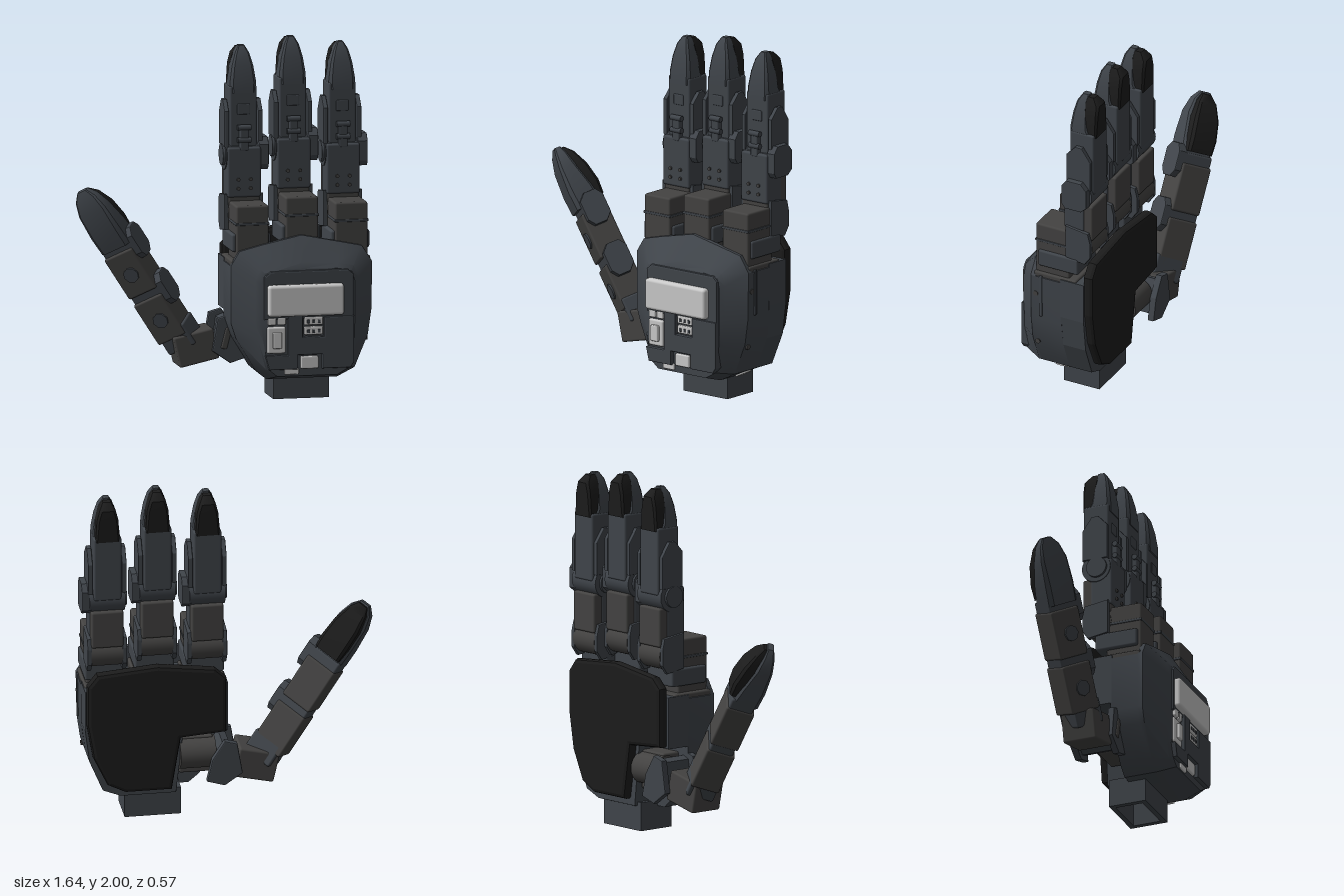
import * as THREE from 'three';
import { RoundedBoxGeometry } from 'three/addons/geometries/RoundedBoxGeometry.js';
import { toCreasedNormals } from 'three/addons/utils/BufferGeometryUtils.js';

const mat = (color) => new THREE.MeshStandardMaterial({ color });
const shellMat = mat(0x40454b), motorMat = mat(0x444342), padMat = mat(0x1c1c1c), greyMat = mat(0xcccccc);

function add(parent, name, geo, material, x = 0, y = 0, z = 0) {
  const m = new THREE.Mesh(geo, material);
  m.name = name;
  m.position.set(x, y, z);
  parent.add(m);
  return m;
}

// Bevelled box given by its extents on each axis
function box(parent, name, material, [x0, x1], [y0, y1], [z0, z1], r = 0.012) {
  const geo = new RoundedBoxGeometry(x1 - x0, y1 - y0, z1 - z0, 2, r);
  return add(parent, name, geo, material, (x0 + x1) / 2, (y0 + y1) / 2, (z0 + z1) / 2);
}

// Cylinder lying along the x or z axis
function cyl(parent, name, material, axis, r, len, x, y, z, sides = 24) {
  const geo = new THREE.CylinderGeometry(r, r, len, sides);
  if (axis === 'x') geo.rotateZ(Math.PI / 2);
  else geo.rotateX(Math.PI / 2);
  return add(parent, name, geo, material, x, y, z);
}

const outline = (pts) => pts.map((p) => new THREE.Vector2(...p));

// Plate cut from an outline between two z values
function plate(parent, name, material, pts, z0, z1, bevel = 0.01) {
  const geo = new THREE.ExtrudeGeometry(new THREE.Shape(outline(pts)), {
    depth: z1 - z0 - 2 * bevel, bevelSize: bevel, bevelOffset: -bevel, bevelThickness: bevel, bevelSegments: 2,
  });
  return add(parent, name, geo, material, 0, 0, z0 + bevel);
}

// Plate standing across x, outlined in [z, y]
function sidePlate(parent, name, material, pts, x, thick) {
  const m = plate(parent, name, material, pts.map(([z, y]) => [-z, y]), -thick / 2, thick / 2, 0.005);
  m.geometry.translate(0, 0, m.position.z).rotateY(Math.PI / 2);
  m.position.set(x, 0, 0);
}

// Closed loft through counter-clockwise rings of [x, y] at rising z
function loft(rings, zs, crease = 0.6) {
  const pos = [], n = rings[0].length;
  const at = (k, i) => [...rings[k][i % n], zs[k]];
  const mid = (k) => [0, 1].map((c) => rings[k].reduce((s, p) => s + p[c], 0) / n).concat(zs[k]);
  const last = rings.length - 1;
  for (let i = 0; i < n; i++) {
    for (let k = 0; k < last; k++) {
      pos.push(...at(k, i), ...at(k, i + 1), ...at(k + 1, i + 1));
      pos.push(...at(k, i), ...at(k + 1, i + 1), ...at(k + 1, i));
    }
    pos.push(...mid(0), ...at(0, i + 1), ...at(0, i));
    pos.push(...mid(last), ...at(last, i), ...at(last, i + 1));
  }
  const geo = new THREE.BufferGeometry();
  geo.setAttribute('position', new THREE.Float32BufferAttribute(pos, 3));
  return toCreasedNormals(geo, crease);
}

// Upright loft of chamfered rectangles: rows of [y, halfWidth, zFront, zBack]
function column(rows) {
  const rings = rows.map(([, w, f, b]) => {
    const c = Math.min(w, (f - b) / 2) * 0.28;
    return [[w - c, -f], [w, -f + c], [w, -b - c], [w - c, -b], [c - w, -b], [-w, -b - c], [-w, -f + c], [c - w, -f]];
  });
  return loft(rings, rows.map((r) => r[0])).rotateX(-Math.PI / 2);
}

function finger(x, dy) {
  const g = new THREE.Group();
  g.name = 'finger';
  g.position.set(x, dy, 0);
  // base and knuckle motors
  box(g, 'baseMount', motorMat, [-0.115, 0.115], [0.68, 0.8], [-0.15, 0.115]);
  box(g, 'baseMotor', motorMat, [-0.085, 0.1], [0.78, 1.1], [-0.1, 0.11]);
  box(g, 'baseBracket', shellMat, [-0.105, 0.115], [0.84, 0.94], [-0.16, 0.09]);
  box(g, 'baseSeam', shellMat, [-0.088, 0.104], [0.99, 1.005], [-0.09, 0.113], 0.004);
  cyl(g, 'knuckle', motorMat, 'x', 0.085, 0.18, 0, 1.02, -0.155);
  const cheek = [[-0.08, 0.94], [-0.08, 1.14], [-0.22, 1.12], [-0.235, 1.06], [-0.235, 0.97], [-0.2, 0.92]];
  const rail = [[-0.085, 1.4], [-0.085, 1.6], [-0.14, 1.66], [-0.18, 1.66], [-0.235, 1.58], [-0.235, 1.4]];
  for (const s of [-1, 1]) {
    sidePlate(g, 'knucklePlate', shellMat, cheek, s * 0.098, 0.026);
    sidePlate(g, 'sideRail', shellMat, rail, s * 0.095, 0.026);
  }
  // proximal motor and middle joint
  box(g, 'proximalMotor', motorMat, [-0.09, 0.09], [1.07, 1.29], [-0.24, -0.07]);
  box(g, 'proximalCover', shellMat, [-0.095, 0.095], [1.12, 1.4], [-0.19, -0.062]);
  cyl(g, 'middleJoint', shellMat, 'x', 0.085, 0.2, 0, 1.35, -0.155);
  const cap = [[-0.09, 1.27], [-0.07, 1.3], [-0.07, 1.41], [-0.1, 1.45], [-0.19, 1.45], [-0.225, 1.41], [-0.225, 1.3], [-0.19, 1.27]];
  sidePlate(g, 'jointCap', shellMat, cap, 0.113, 0.055);
  cyl(g, 'jointCapInner', shellMat, 'x', 0.06, 0.02, -0.104, 1.35, -0.15);
  // distal link with its small linkage
  box(g, 'distalLink', shellMat, [-0.078, 0.078], [1.36, 1.74], [-0.242, -0.09]);
  box(g, 'linkageRod', shellMat, [-0.025, 0.025], [1.38, 1.52], [-0.1, -0.06], 0.008);
  for (const y of [1.44, 1.51]) cyl(g, 'linkagePin', shellMat, 'x', 0.016, 0.075, 0, y, -0.07, 12);
  for (const sx of [-0.035, 0.035]) for (const y of [1.17, 1.22]) cyl(g, 'screw', motorMat, 'z', 0.01, 0.015, sx, y, -0.06, 10);
  box(g, 'tipLatch', shellMat, [-0.035, 0.035], [1.58, 1.64], [-0.1, -0.084], 0.006);
  // tip with a pad behind
  add(g, 'tipShell', column([[1.7, 0.076, -0.084, -0.235], [1.76, 0.074, -0.085, -0.2], [1.85, 0.06, -0.098, -0.19],
    [1.92, 0.04, -0.115, -0.18], [1.96, 0.017, -0.14, -0.18]]), shellMat);
  add(g, 'tipPad', column([[1.72, 0.068, -0.18, -0.248], [1.85, 0.06, -0.165, -0.252], [1.91, 0.045, -0.16, -0.252],
    [1.95, 0.022, -0.155, -0.215]]), padMat);
  return g;
}

function thumb() {
  const g = new THREE.Group();
  g.name = 'thumb';
  g.position.set(-0.24, 0.36, -0.15);
  g.rotation.set(0, -0.6, 0.567, 'ZYX');
  // two motor segments, each with a collar, a side cap and a round cover
  const cap = [[0.07, -0.06], [0.07, 0.05], [0.03, 0.09], [-0.04, 0.09], [-0.07, 0.05], [-0.07, -0.06], [-0.03, -0.1], [0.04, -0.1]];
  for (const [y0, y1] of [[0.0, 0.27], [0.31, 0.58]]) {
    box(g, 'thumbMotor', motorMat, [-0.1, 0.088], [y0, y1], [-0.08, 0.085]);
    box(g, 'thumbCollar', shellMat, [-0.095, 0.095], [y1 - 0.05, y1 + 0.06], [-0.07, 0.07]);
    sidePlate(g, 'thumbJointCap', shellMat, cap.map(([z, y]) => [z, y + y1 + 0.01]), 0.1, 0.055);
    cyl(g, 'thumbCover', shellMat, 'z', 0.045, 0.02, 0, y0 + 0.13, 0.085, 8);
  }
  box(g, 'thumbFoot', shellMat, [-0.08, 0.1], [-0.08, 0.06], [-0.08, 0.08]);
  // broad blunt tip, its pad covering the whole inner side
  add(g, 'thumbTipShell', column([[0.61, 0.095, 0.09, -0.07], [0.72, 0.096, 0.095, -0.05], [0.86, 0.088, 0.085, -0.01],
    [0.94, 0.065, 0.068, 0.005], [0.985, 0.03, 0.05, 0.015]]), shellMat);
  add(g, 'thumbTipPad', column([[0.65, 0.08, 0, -0.09], [0.73, 0.085, 0.02, -0.095], [0.84, 0.079, 0.03, -0.075],
    [0.93, 0.056, 0.035, -0.04], [0.975, 0.027, 0.035, -0.005]]), padMat);
  return g;
}

export function createModel() {
  const hand = new THREE.Group();
  hand.name = 'roboticHand';

  // Housing on the back of the hand
  const outer = [[0.2, 0.13], [0.6, 0.13], [0.7, 0.18], [0.775, 0.36], [0.795, 0.5], [0.8, 0.77], [0.74, 0.86],
    [0.62, 0.885], [0.4, 0.93], [0.17, 0.88], [0.05, 0.85], [0, 0.77], [0, 0.45], [0.03, 0.36], [0.14, 0.18]];
  const inner = [[0.24, 0.16], [0.58, 0.16], [0.65, 0.2], [0.675, 0.36], [0.68, 0.5], [0.68, 0.68], [0.66, 0.74],
    [0.58, 0.755], [0.4, 0.76], [0.25, 0.755], [0.17, 0.74], [0.15, 0.68], [0.15, 0.45], [0.16, 0.36], [0.19, 0.2]];
  const mix = (t) => outer.map((p, i) => p.map((v, c) => v + (inner[i][c] - v) * t));
  const low = outer.map(([x, y]) => [x, Math.min(y, 0.79)]);
  add(hand, 'housing', loft([low, low, outer, outer, mix(0.8), inner], [-0.06, 0.1, 0.101, 0.13, 0.215, 0.235]), shellMat);

  // Palm side, cut away at the corner for the thumb
  plate(hand, 'palmBody', shellMat, [[0.29, 0.14], [0.6, 0.14], [0.7, 0.18], [0.775, 0.36], [0.8, 0.55], [0.8, 0.79],
    [0, 0.79], [0, 0.5], [0.25, 0.5]], -0.2, -0.05, 0.004);
  plate(hand, 'palmPad', padMat, [[0.32, 0.18], [0.58, 0.18], [0.68, 0.23], [0.76, 0.4], [0.795, 0.6], [0.795, 0.84],
    [0.74, 0.91], [0.4, 0.94], [0.08, 0.9], [0.015, 0.84], [0.015, 0.51], [0.27, 0.49]], -0.255, -0.19, 0.022);

  // Control panel: upper frame, display block, cover, switch and ports
  plate(hand, 'panelFrame', shellMat, [[0.165, 0.48], [0.67, 0.48], [0.67, 0.72], [0.64, 0.75], [0.2, 0.75], [0.165, 0.72]], 0.2, 0.248, 0.008);
  box(hand, 'displayBlock', greyMat, [0.18, 0.61], [0.5, 0.675], [0.2, 0.285], 0.018);
  plate(hand, 'panelCover', shellMat, [[0.19, 0.2], [0.35, 0.2], [0.35, 0.28], [0.49, 0.28], [0.49, 0.2], [0.65, 0.2],
    [0.67, 0.23], [0.67, 0.49], [0.5, 0.49], [0.5, 0.38], [0.38, 0.38], [0.38, 0.5], [0.3, 0.5], [0.3, 0.28],
    [0.17, 0.28]], 0.2, 0.26, 0.006);
  box(hand, 'switchFrame', greyMat, [0.18, 0.285], [0.29, 0.44], [0.22, 0.25]);
  box(hand, 'switchRocker', greyMat, [0.21, 0.26], [0.32, 0.41], [0.23, 0.268], 0.006);
  for (const x of [0.185, 0.24]) box(hand, 'button', greyMat, [x, x + 0.045], [0.45, 0.49], [0.22, 0.252], 0.006);
  for (const y of [0.39, 0.445]) {
    box(hand, 'port', greyMat, [0.39, 0.495], [y, y + 0.045], [0.22, 0.252], 0.006);
    for (let i = 0; i < 3; i++) box(hand, 'portPin', shellMat, [0.405 + i * 0.03, 0.42 + i * 0.03], [y + 0.01, y + 0.03], [0.24, 0.256], 0.003);
  }
  box(hand, 'lowerPort', greyMat, [0.37, 0.47], [0.2, 0.27], [0.2, 0.25], 0.008);
  box(hand, 'lowerTab', greyMat, [0.28, 0.36], [0.17, 0.205], [0.2, 0.245], 0.006);

  // Side rail, screws and the light disc under the housing
  box(hand, 'housingRail', shellMat, [0.785, 0.804], [0.52, 0.78], [0.06, 0.08], 0.005);
  for (const [x, y] of [[0.762, 0.34], [0.787, 0.66]]) cyl(hand, 'housingScrew', motorMat, 'x', 0.015, 0.03, x, y, 0.1, 12);
  cyl(hand, 'lowerDisc', greyMat, 'x', 0.045, 0.016, 0.655, 0.157, 0).rotation.z = -1.107;

  // Hollow wrist
  const sleeve = new THREE.Shape(outline([[0.26, -0.04], [0.575, -0.04], [0.575, 0.18], [0.26, 0.18]]));
  sleeve.holes.push(new THREE.Path(outline([[0.29, -0.01], [0.29, 0.15], [0.545, 0.15], [0.545, -0.01]])));
  add(hand, 'wrist', new THREE.ExtrudeGeometry(sleeve, { depth: 0.16, bevelEnabled: false }).rotateX(-Math.PI / 2), shellMat);

  for (const [x, dy] of [[0.12, 0], [0.4, 0.04], [0.68, 0]]) hand.add(finger(x, dy));

  // Thumb root: motor in the cut-out, bracket plates and a turned block
  cyl(hand, 'thumbRootMotor', motorMat, 'x', 0.09, 0.2, 0.17, 0.36, -0.155);
  box(hand, 'thumbRootBase', motorMat, [0.08, 0.27], [0.24, 0.46], [-0.17, -0.05]);
  const bracket = [[-0.07, 0.27], [0.03, 0.2], [0.13, 0.23], [0.1, 0.36], [0.03, 0.47], [-0.04, 0.45]];
  for (const z of [-0.285, -0.06]) plate(hand, 'thumbBracket', shellMat, bracket, z, z + 0.04, 0.006);
  plate(hand, 'thumbBracketCore', shellMat, bracket.map(([x, y]) => [x * 0.6 + 0.02, y * 0.8 + 0.07]), -0.25, -0.05, 0.006);
  box(hand, 'bracketSlot', motorMat, [-0.01, 0.025], [0.28, 0.4], [-0.03, -0.012], 0.008).rotation.z = -0.25;
  box(hand, 'thumbRootBlock', motorMat, [-0.27, -0.04], [0.2, 0.375], [-0.24, -0.04]).rotation.z = 0.22;
  hand.add(thumb());
  return hand;
}
